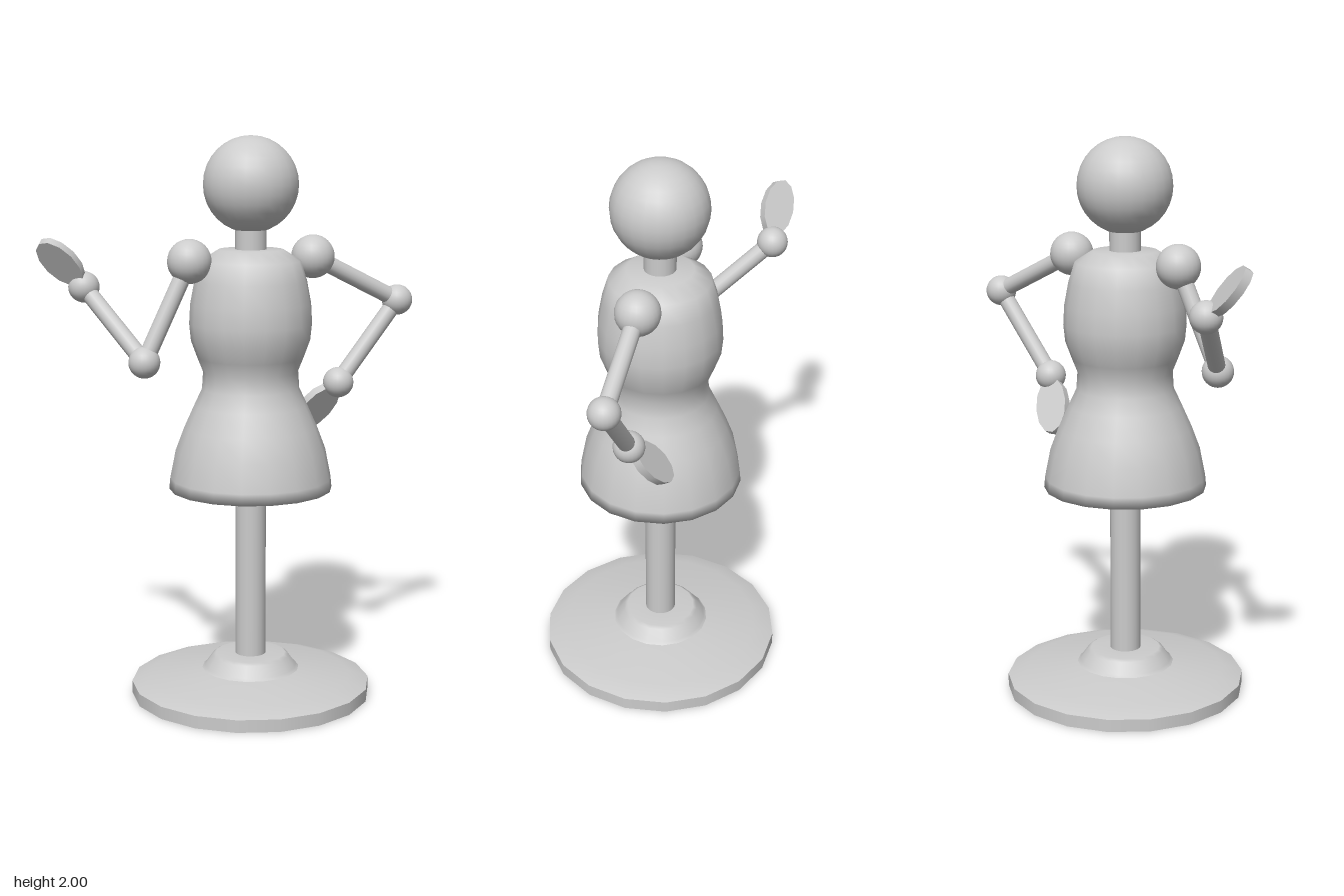
import * as THREE from 'three';

const V = (x, y, z) => new THREE.Vector3(x, y, z);
const AXIS_X = 0.03; // the stand and body share this vertical axis
const SIDES = 18;

export function createModel() {
  const model = new THREE.Group();
  const material = new THREE.MeshStandardMaterial({ color: 0xcccccc, side: THREE.DoubleSide });

  function add(name, geometry, position = V(0, 0, 0)) {
    const mesh = new THREE.Mesh(geometry, material);
    mesh.name = name;
    mesh.position.copy(position);
    model.add(mesh);
    return mesh;
  }

  // Turned part around the body axis, profile given bottom to top as [radius, y]
  function turned(name, profile) {
    const points = profile.map(([r, y]) => new THREE.Vector2(r, y));
    return add(name, new THREE.LatheGeometry(points, SIDES, Math.PI / 2), V(AXIS_X, 0, 0));
  }

  const ball = (name, center, radius) => add(name, new THREE.SphereGeometry(radius, 24, 16), center);

  // Open tube between two points
  function rod(name, a, b, radius) {
    const mesh = add(name, new THREE.CylinderGeometry(radius, radius, a.distanceTo(b), SIDES, 1, true));
    mesh.position.lerpVectors(a, b, 0.5);
    mesh.quaternion.setFromUnitVectors(V(0, 1, 0), b.clone().sub(a).normalize());
    return mesh;
  }

  // Flat oval paddle: long axis along `along`, face pointing to `facing`
  function hand(name, center, along, facing, length, width) {
    const geometry = new THREE.CylinderGeometry(1, 1, 0.03, 12);
    geometry.scale(length, 1, width);
    const x = along.clone().normalize();
    const z = x.clone().cross(facing).normalize();
    const y = z.clone().cross(x);
    const mesh = add(name, geometry, center);
    mesh.quaternion.setFromRotationMatrix(new THREE.Matrix4().makeBasis(x, y, z));
  }

  // Stand: hollow stepped foot and tubular pole
  turned('base', [[0.43, 0], [0.43, 0.045]]);
  turned('baseTop', [[0.43, 0.045], [0.36, 0.068], [0.175, 0.092]]);
  turned('baseCollar', [[0.175, 0.092], [0.165, 0.1], [0.138, 0.138], [0.125, 0.146], [0.055, 0.146]]);
  rod('pole', V(AXIS_X, 0.14, 0), V(AXIS_X, 0.8, 0), 0.055);

  // Body: flared hips, narrow waist, rounded chest
  turned('torso', [
    [0, 0.76], [0.29, 0.76], [0.286, 0.8], [0.266, 0.9], [0.236, 0.98], [0.2, 1.06],
    [0.172, 1.12], [0.168, 1.18], [0.188, 1.23], [0.21, 1.29], [0.216, 1.35],
    [0.212, 1.42], [0.197, 1.5], [0.175, 1.57], [0.115, 1.608], [0, 1.61],
  ]);
  rod('neck', V(AXIS_X, 1.59, 0), V(AXIS_X, 1.72, 0), 0.055);
  ball('head', V(AXIS_X, 1.833, 0), 0.167);

  // Arms: shoulder, elbow and wrist joints linked by rods
  const arms = {
    right: [V(-0.2, 1.575, 0), V(-0.368, 1.235, 0), V(-0.497, 1.475, -0.253)],
    left: [V(0.27, 1.575, 0), V(0.61, 1.405, 0), V(0.375, 1.117, 0)],
  };
  for (const [side, [shoulder, elbow, wrist]] of Object.entries(arms)) {
    ball(side + 'Shoulder', shoulder, 0.077);
    ball(side + 'Elbow', elbow, 0.055);
    ball(side + 'Wrist', wrist, 0.055);
    rod(side + 'UpperArm', shoulder, elbow, 0.03);
    rod(side + 'Forearm', elbow, wrist, 0.03);
  }
  hand('rightHand', V(-0.583, 1.567, -0.245), V(-0.7, 0.71, 0), V(-0.52, -0.52, 0.68), 0.102, 0.06);
  hand('leftHand', V(0.315, 1.022, -0.06), V(-0.46, -0.75, -0.46), V(0, -0.52, 0.85), 0.11, 0.063);

  return model;
}
